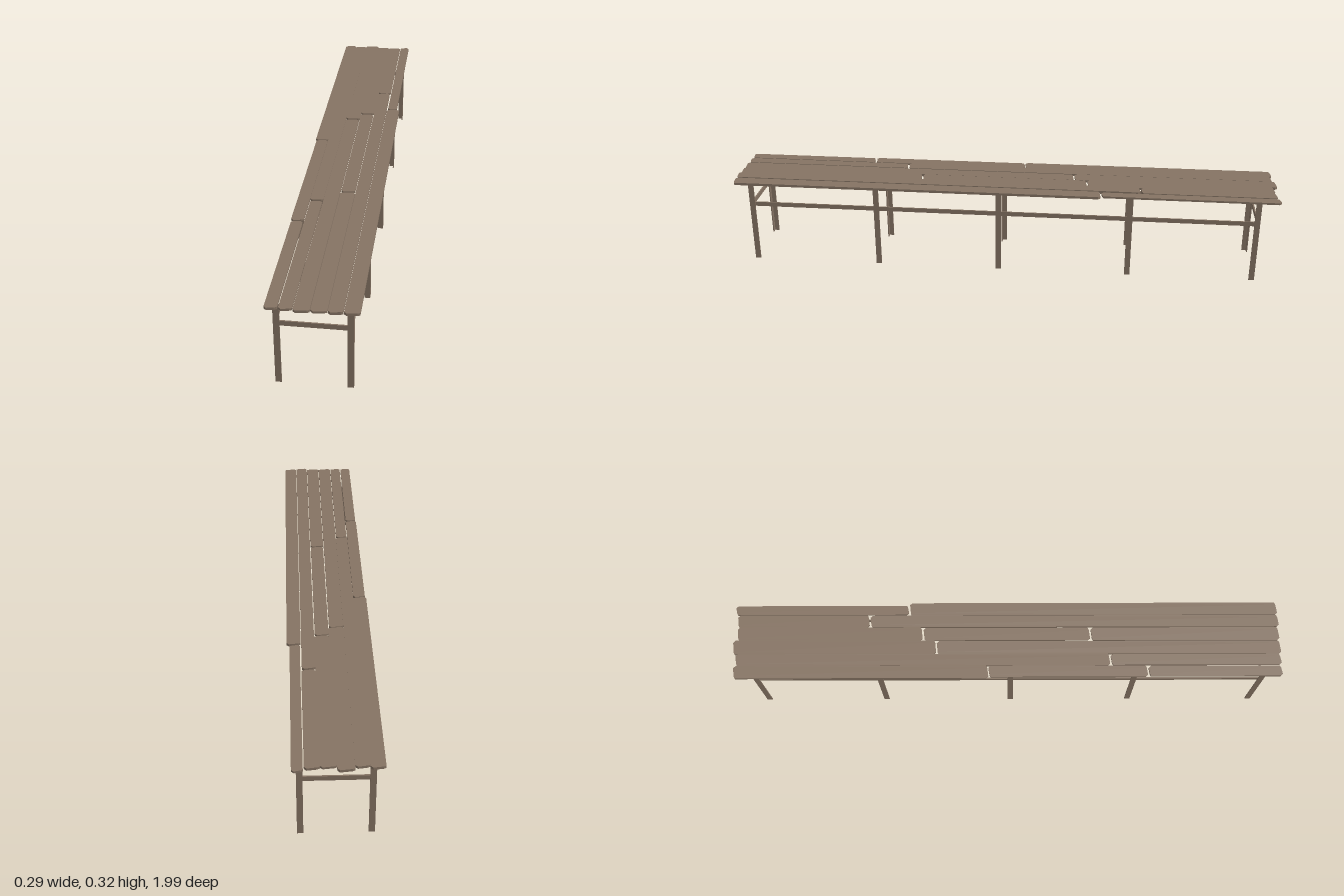
import * as THREE from 'three';

export function createModel() {
  const model = new THREE.Group();
  const wood = new THREE.MeshStandardMaterial({ color: 0x857363 });
  wood.name = 'weathered wood';

  const add = (name, geometry, x, y, z) => {
    const mesh = new THREE.Mesh(geometry, wood);
    mesh.name = name;
    mesh.position.set(x, y, z);
    model.add(mesh);
  };
  const box = (name, w, h, d, x, y, z) => add(name, new THREE.BoxGeometry(w, h, d), x, y, z);

  // Plank lying along z, with clipped corners at both ends
  const plank = (x0, x1, z0, z1, y0, y1) => {
    const c = 0.008;
    const s = new THREE.Shape([
      [x0, -z1 + c], [x0 + c, -z1], [x1 - c, -z1 + c * 0.5], [x1, -z1 + c],
      [x1, -z0 - c], [x1 - c, -z0], [x0 + c, -z0 - c * 0.5], [x0, -z0 - c],
    ].map(([a, b]) => new THREE.Vector2(a, b)));
    const g = new THREE.ExtrudeGeometry(s, { depth: y1 - y0, bevelEnabled: false });
    g.rotateX(-Math.PI / 2);
    add('plank', g, 0, y0, 0);
  };

  // Table top: x from, x to, z from, z to, underside, upper side
  [
    [-0.147, -0.100, -0.99, -0.070, 0.311, 0.320],
    [-0.143, -0.101, -0.070, 0.505, 0.312, 0.320],
    [-0.141, -0.102, 0.508, 0.990, 0.311, 0.3195],
    [-0.100, -0.055, -0.985, 0.370, 0.312, 0.3205],
    [-0.098, -0.057, 0.373, 0.990, 0.312, 0.3195],
    [-0.055, -0.002, -0.998, -0.260, 0.311, 0.320],
    [-0.055, -0.005, -0.258, 0.992, 0.310, 0.3185],
    [-0.002, 0.049, -0.985, -0.310, 0.313, 0.3205],
    [-0.002, 0.046, -0.307, 0.300, 0.312, 0.3195],
    [-0.003, 0.047, 0.303, 0.990, 0.312, 0.3195],
    [0.049, 0.096, -0.988, -0.505, 0.312, 0.3205],
    [0.049, 0.094, -0.502, 0.992, 0.312, 0.322],
    [0.099, 0.134, -0.998, -0.362, 0.312, 0.319],
    [0.096, 0.144, -0.359, 0.990, 0.311, 0.320],
  ].forEach((p) => plank(...p));

  // Angle-section legs, corner facing outward and toward the nearer end
  const legZ = [0.93, 0.462, 0.01, -0.468, -0.922];
  const w = 0.02, t = 0.004, h = 0.312;
  for (const side of [-1, 1]) {
    const legX = side < 0 ? -0.115 : 0.11;
    legZ.forEach((z, i) => {
      const end = i < 3 ? 1 : -1;
      box('leg face', w, h, t, legX, h / 2, z + end * (w - t) / 2);
      box('leg side', t, h, w - t, legX + side * (w - t) / 2, h / 2, z - end * t / 2);
    });
    // Long side rail
    box('side rail', 0.005, 0.016, 1.86, legX + side * 0.0035, 0.225, 0.004);
  }

  // Cross rails joining the end legs
  for (const z of [0.933, -0.925]) box('cross rail', 0.225, 0.017, 0.005, -0.0025, 0.2245, z);

  return model;
}
